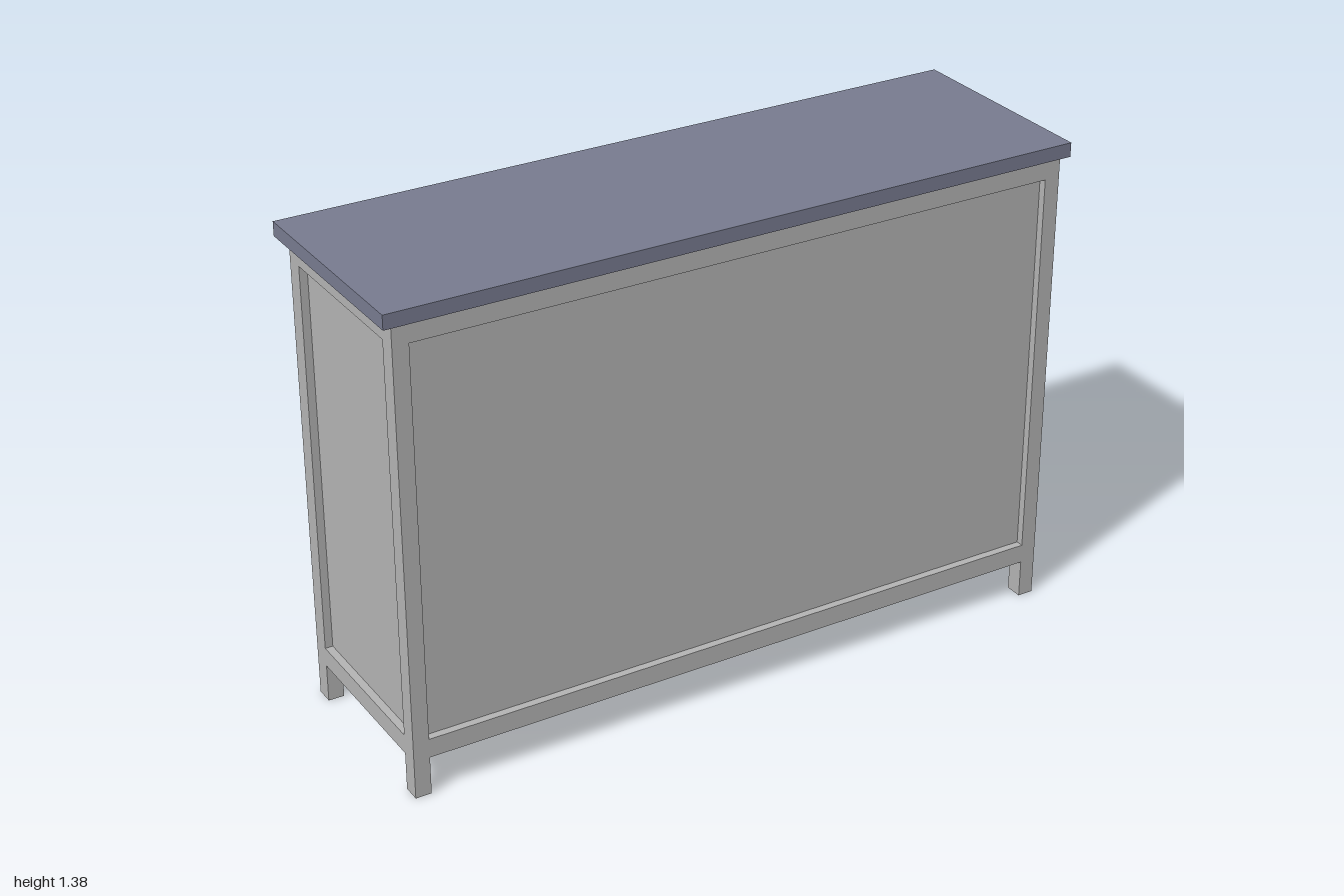
import * as THREE from 'three';

const grey = new THREE.MeshStandardMaterial({ color: 0xb3b3b3 });
grey.name = 'grey paint';
const slate = new THREE.MeshStandardMaterial({ color: 0x777b8f });
slate.name = 'slate blue paint';

export function createModel() {
  const model = new THREE.Group();
  model.name = 'sideboard';

  // box given by its minimum and maximum on each axis
  const box = (name, mat, x0, x1, y0, y1, z0, z1, parent = model) => {
    const mesh = new THREE.Mesh(new THREE.BoxGeometry(x1 - x0, y1 - y0, z1 - z0), mat);
    mesh.position.set((x0 + x1) / 2, (y0 + y1) / 2, (z0 + z1) / 2);
    mesh.name = name;
    parent.add(mesh);
    return mesh;
  };

  const X = 0.975, XI = 0.93;            // outer and inner faces of the legs
  const ZP = 0.3, ZPI = 0.25;            // panelled long side
  const ZD = -0.274, ZDI = -0.222;       // drawer side
  const BASE = 0.11, LOW = 0.165, HIGH = 1.28, TOP = 1.335;

  box('tabletop', slate, -1, 1, TOP, 1.375, -0.307, 0.311);

  // corner legs, side panels and side rails
  for (const s of [-1, 1]) {
    const sideBox = (name, a, b, y0, y1, z0, z1, mat = grey) =>
      box(name, mat, Math.min(s * a, s * b), Math.max(s * a, s * b), y0, y1, z0, z1);
    sideBox('panelSideLeg', XI, X, 0, TOP, ZPI, ZP);
    sideBox('drawerSideLeg', XI, X, 0, TOP, ZD, ZDI);
    sideBox('sideBottomRail', XI, X, BASE, LOW, ZDI, ZPI);
    sideBox('sideTopRail', XI, X, HIGH, TOP, ZDI, ZPI);
    sideBox('sidePanel', XI, X - 0.022, LOW, HIGH, ZDI, ZPI);
    // narrow stile beside the drawers and lining beside the shelf
    sideBox('drawerStile', 0.904, XI, LOW, 0.977, -0.25, 0.25);
    sideBox('nicheSide', 0.915, XI, 0.977, TOP, -0.25, 0.17, slate);
    sideBox('nicheDivider', 0.418, 0.435, 0.992, 1.3, -0.245, 0.16, slate);
  }

  // recessed panel on the long side
  box('longPanel', grey, -XI, XI, LOW, HIGH, 0.262, 0.278);
  box('longBottomRail', grey, -XI, XI, BASE, LOW, ZPI, ZP);
  box('longTopRail', grey, -XI, XI, HIGH, TOP, ZPI, ZP);

  // base and rail below the drawers
  box('baseBoard', grey, -XI, XI, BASE, 0.14, ZDI, ZPI);
  box('drawerBottomRail', grey, -XI, XI, BASE, LOW, ZD, ZDI);

  // open shelf compartments
  box('nicheFloor', slate, -0.915, 0.915, 0.977, 0.992, -0.25, 0.17);
  box('nicheBack', slate, -0.915, 0.915, 0.992, TOP, 0.16, 0.17);
  box('nicheCeiling', slate, -0.915, 0.915, 1.3, TOP, -0.23, 0.16);
  box('nicheTopRail', slate, -0.915, 0.915, 1.266, TOP, -0.25, -0.23);
  box('drawerSeparator', slate, -0.904, 0.904, 0.562, 0.58, -0.23, 0.16);

  // turned knob profile: stem, then a bevelled button
  const knobGeometry = new THREE.LatheGeometry(
    [[0.009, 0], [0.009, 0.016], [0.02, 0.023], [0.021, 0.029], [0.012, 0.039], [0, 0.045]]
      .map(([r, h]) => new THREE.Vector2(r, h)), 16);
  knobGeometry.rotateX(-Math.PI / 2);

  // two framed drawers with a recessed centre
  for (const [name, y0] of [['lowerDrawer', 0.169], ['upperDrawer', 0.574]]) {
    const drawer = new THREE.Group();
    drawer.name = name;
    model.add(drawer);
    const y1 = y0 + 0.4, w = 0.9, iw = 0.81, f = 0.087, z0 = -0.245, z1 = -0.225;
    box('drawerFrameBottom', grey, -w, w, y0, y0 + f, z0, z1, drawer);
    box('drawerFrameTop', grey, -w, w, y1 - f, y1, z0, z1, drawer);
    box('drawerFrameLeft', grey, iw, w, y0 + f, y1 - f, z0, z1, drawer);
    box('drawerFrameRight', grey, -w, -iw, y0 + f, y1 - f, z0, z1, drawer);
    box('drawerPanel', grey, -iw, iw, y0 + f, y1 - f, z0 + 0.012, z1, drawer);
    for (const s of [-1, 1]) {
      const knob = new THREE.Mesh(knobGeometry, grey);
      knob.name = 'knob';
      knob.position.set(s * 0.535, y1 - 0.043, z0);
      drawer.add(knob);
    }
  }

  return model;
}
